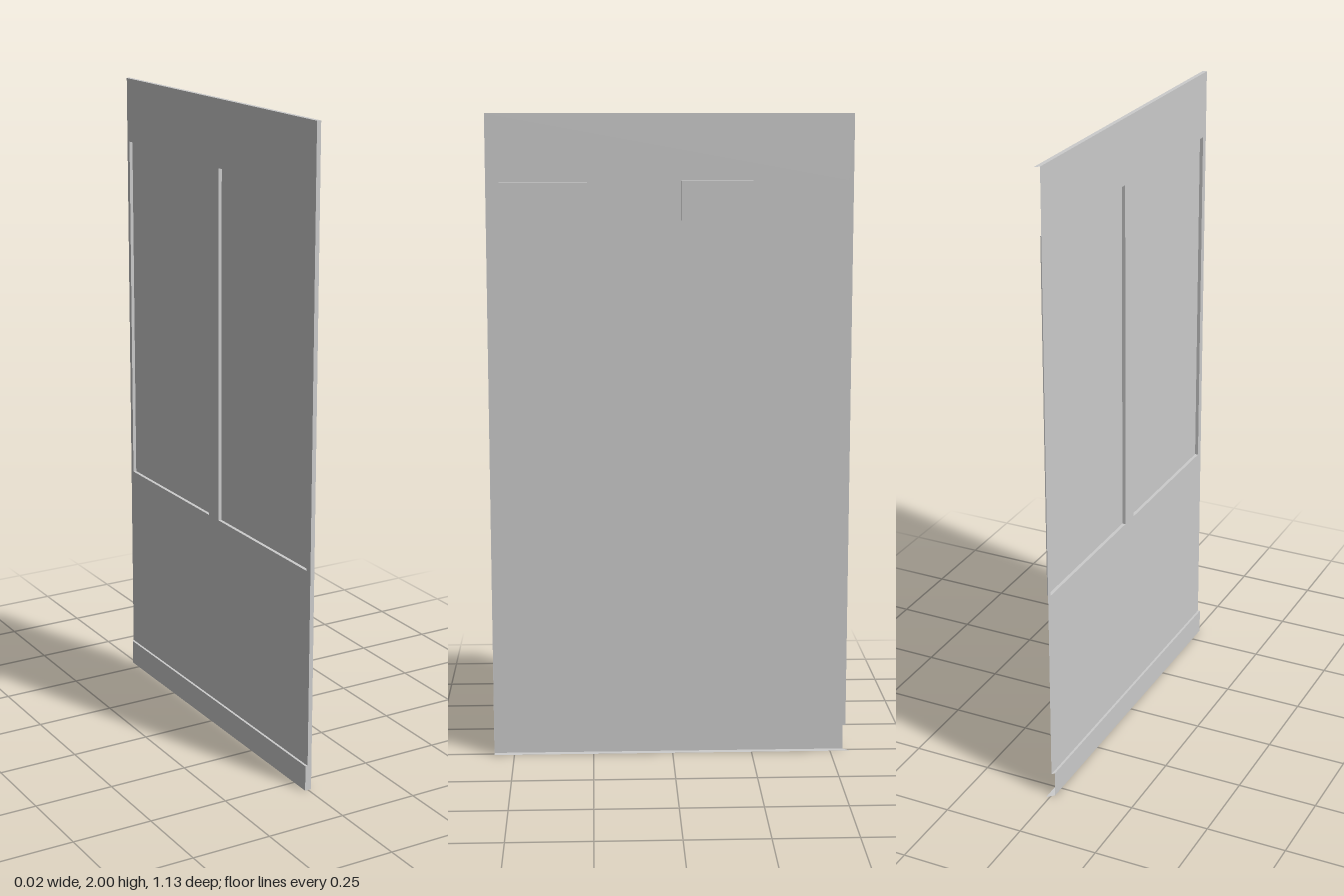
import * as THREE from 'three';

const FACE = -0.003;   // outer sheet of the panel
const SKIRT = -0.0105; // outer sheet of the skirting
const BACK = 0.0105;   // rear edge of the folded flanges
const TRAY = 0.0075;   // floor of the recesses
const H = 2, SKIRT_H = 0.08, Z = 0.563;

const mat = new THREE.MeshStandardMaterial({ color: 0xcccccc, side: THREE.DoubleSide });

// the -z end is mitred at about 45 degrees
const mitre = (x) => -Z + (BACK - x) * 0.98;

function add(parent, name, geometry) {
  const mesh = new THREE.Mesh(geometry, mat);
  mesh.name = name;
  parent.add(mesh);
  return mesh;
}

// flat sheet from four corners, counter-clockwise seen from outside
function quad(a, b, c, d) {
  const g = new THREE.BufferGeometry();
  g.setAttribute('position', new THREE.Float32BufferAttribute([...a, ...b, ...c, ...d], 3));
  g.setIndex([0, 1, 2, 0, 2, 3]);
  g.computeVertexNormals();
  return g;
}

// upright sheet at depth x, facing -x
const upright = (x, z0, z1, y0, y1) => quad([x, y0, z0], [x, y0, z1], [x, y1, z1], [x, y1, z0]);

// level sheet between depths x0 and x1, with a mitred end
function level(y, x0, x1, up) {
  const p = [[x0, y, mitre(x0)], [x0, y, Z], [x1, y, Z], [x1, y, mitre(x1)]];
  return quad(...(up ? p : p.reverse()));
}

const rect = (Type, z0, z1, y0, y1) => new Type(
  [[z0, y0], [z1, y0], [z1, y1], [z0, y1]].map(([z, y]) => new THREE.Vector2(z, y)));

export function createModel() {
  const model = new THREE.Group();
  model.name = 'wallPanel';

  const recesses = [
    { name: 'frontRecess', z0: 0.032, z1: 0.541, y0: 0.693, y1: 1.795 },
    { name: 'rearRecess', z0: -0.536, z1: -0.026, y0: 0.693, y1: 1.8 },
  ];

  // main sheet with openings for the recesses
  const sheet = rect(THREE.Shape, mitre(FACE), Z, SKIRT_H, H);
  for (const r of recesses) sheet.holes.push(rect(THREE.Path, r.z0, r.z1, r.y0, r.y1));
  add(model, 'mainSheet', new THREE.ShapeGeometry(sheet).rotateY(-Math.PI / 2).translate(FACE, 0, 0));

  // shallow trays: floor and four sides
  for (const { name, z0, z1, y0, y1 } of recesses) {
    const tray = new THREE.Group();
    tray.name = name;
    model.add(tray);
    add(tray, 'recessFloor', upright(TRAY, z0, z1, y0, y1));
    const corners = [[z0, y0], [z1, y0], [z1, y1], [z0, y1]];
    corners.forEach(([za, ya], i) => {
      const [zb, yb] = corners[(i + 1) % 4];
      add(tray, 'recessSide', quad([FACE, ya, za], [FACE, yb, zb], [TRAY, yb, zb], [TRAY, ya, za]));
    });
  }

  // skirting along the foot
  add(model, 'skirting', upright(SKIRT, mitre(SKIRT), Z, 0, SKIRT_H));
  add(model, 'skirtingLedge', level(SKIRT_H, SKIRT, FACE, true));

  // folded flanges
  add(model, 'topFlange', level(H, FACE, BACK, true));
  add(model, 'bottomFlange', level(0, SKIRT, BACK, false));
  const end = new THREE.Shape([
    [SKIRT, 0], [BACK, 0], [BACK, H], [FACE, H], [FACE, SKIRT_H], [SKIRT, SKIRT_H],
  ].map(([x, y]) => new THREE.Vector2(x, y)));
  add(model, 'endFlange', new THREE.ShapeGeometry(end).translate(0, 0, Z));

  return model;
}
